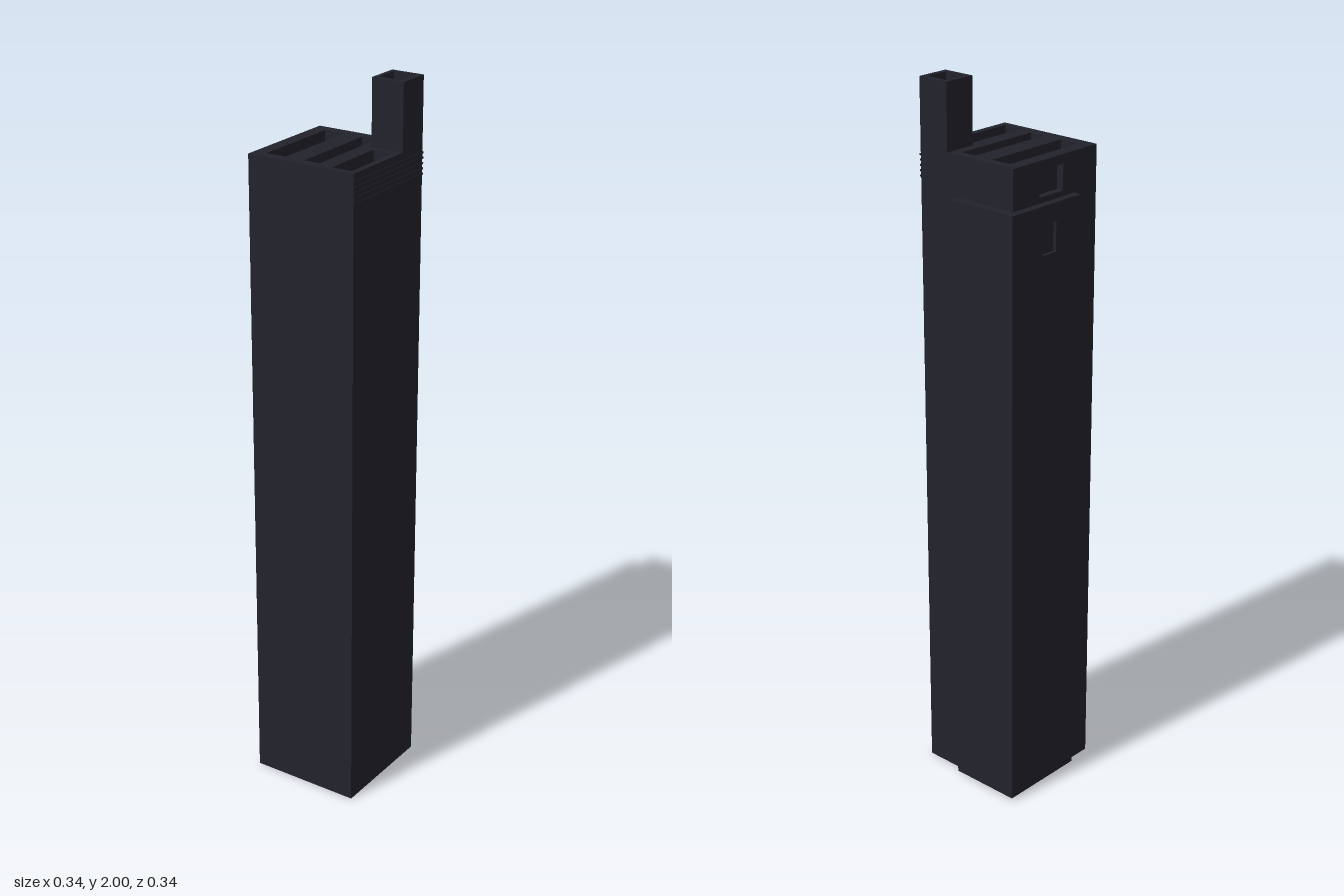
import * as THREE from 'three';

const charcoal = new THREE.MeshStandardMaterial({ color: 0x22222c });
charcoal.name = 'charcoal';

// Rectangle outline [a0, a1, b0, b1]
function rect([a0, a1, b0, b1], Type = THREE.Shape) {
  const s = new Type();
  s.moveTo(a0, b0);
  s.lineTo(a1, b0);
  s.lineTo(a1, b1);
  s.lineTo(a0, b1);
  s.closePath();
  return s;
}

export function createModel() {
  const model = new THREE.Group();
  model.name = 'tower';

  function add(name, geometry) {
    const mesh = new THREE.Mesh(geometry, charcoal);
    mesh.name = name;
    model.add(mesh);
    return mesh;
  }

  function block(name, x0, x1, y0, y1, z0, z1) {
    add(name, new THREE.BoxGeometry(x1 - x0, y1 - y0, z1 - z0))
      .position.set((x0 + x1) / 2, (y0 + y1) / 2, (z0 + z1) / 2);
  }

  function pierced(outline, holes, depth) {
    const shape = rect(outline);
    holes.forEach((h) => shape.holes.push(rect(h, THREE.Path)));
    return new THREE.ExtrudeGeometry(shape, { depth, bevelEnabled: false });
  }

  // Horizontal slab in x, z hanging down from its top, with openings
  function roofSlab(name, top, depth, outline, holes) {
    add(name, pierced(outline, holes, depth).rotateX(Math.PI / 2)).position.y = top;
  }

  // Upright slab in z, y facing -x, with openings
  function sideSlab(name, x0, x1, outline, holes) {
    add(name, pierced(outline, holes, x1 - x0).rotateY(-Math.PI / 2)).position.x = x1;
  }

  // Main shaft, its roof with three long sunken bays and a recessed side window
  block('mainShaft', -0.13, 0.168, 0, 1.76, -0.148, 0.17);
  roofSlab('mainRoof', 1.82, 0.06, [-0.13, 0.168, -0.148, 0.17], [
    [-0.114, -0.055, -0.12, 0.14],
    [0.002, 0.048, -0.12, 0.14],
    [0.092, 0.15, -0.036, 0.153],
  ]);
  sideSlab('mainSideWall', -0.15, -0.13, [-0.148, 0.17, 0, 1.82], [[-0.05, 0.04, 1.725, 1.795]]);

  // Lower annex wrapping the rear corner, with a small window
  block('annex', -0.162, 0.036, 0.01, 1.71, -0.175, 0.083);
  sideSlab('annexSideWall', -0.172, -0.162, [-0.175, 0.083, 0.01, 1.71], [[-0.06, -0.01, 1.58, 1.66]]);

  // Corner turret with a sunken top
  block('turret', 0.074, 0.168, 1.76, 1.96, -0.148, -0.054);
  roofSlab('turretRim', 2, 0.04, [0.074, 0.168, -0.148, -0.054], [[0.087, 0.153, -0.135, -0.068]]);

  // Fine ridges near the top of the side wall
  for (let i = 0; i < 5; i++) {
    const y = 1.74 + i * 0.014;
    block('sideRidge', 0.166, 0.17, y, y + 0.005, -0.15, 0.168);
  }

  return model;
}
